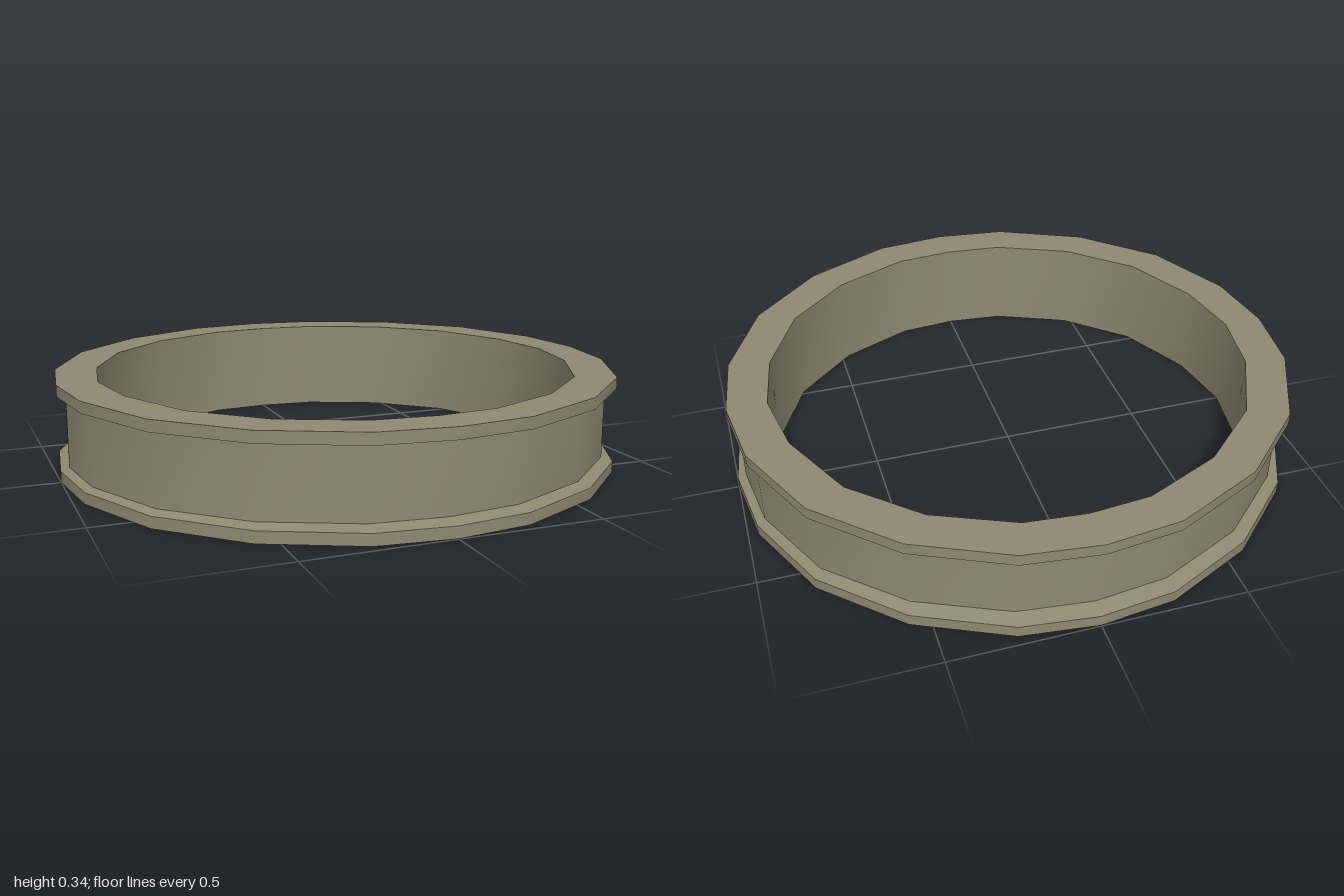
import * as THREE from 'three';
import { toCreasedNormals } from 'three/addons/utils/BufferGeometryUtils.js';

// One quadrant of each plan outline [x, z], from the x axis to just before the z axis
const OUTER = [[1, 0], [0.965, 0.27], [0.82, 0.58], [0.57, 0.82], [0.26, 0.966], [0, 0.997]];
const INNER = [[0.86, 0], [0.82, 0.245], [0.69, 0.515], [0.475, 0.715], [0.21, 0.833], [0, 0.853]];
const WAIST = OUTER.map(([x, z]) => [x * 0.97, z * 0.942]);

// Mirror a quadrant into a full closed outline
function fullOutline(quadrant) {
  const half = [...quadrant, ...quadrant.slice(0, -1).reverse().map(([x, z]) => [-x, z])];
  return [...half, ...half.slice(1, -1).reverse().map(([x, z]) => [x, -z])];
}

// Join a closed loop of outlines at given heights into a ring
function ringGeometry(section) {
  const loops = section.map(([quadrant, y]) => fullOutline(quadrant).map(([x, z]) => [x, y, z]));
  const rows = loops.length, n = loops[0].length;
  const index = [];
  for (let i = 0; i < rows; i++) {
    const next = (i + 1) % rows;
    for (let j = 0; j < n; j++) {
      const k = (j + 1) % n;
      const a = i * n + j, b = next * n + j, c = next * n + k, d = i * n + k;
      index.push(a, b, d, b, c, d);
    }
  }
  const geometry = new THREE.BufferGeometry();
  geometry.setAttribute('position', new THREE.Float32BufferAttribute(loops.flat(2), 3));
  geometry.setIndex(index);
  return toCreasedNormals(geometry, Math.PI / 6);
}

export function createModel() {
  const group = new THREE.Group();
  group.name = 'flangedRing';
  const stone = new THREE.MeshStandardMaterial({ color: 0x8f8971 });
  stone.name = 'greyOlive';

  // Cross-section: lower lip, recessed band, upper lip, inner wall
  const ring = new THREE.Mesh(ringGeometry([
    [INNER, 0], [OUTER, 0], [OUTER, 0.04], [WAIST, 0.05],
    [WAIST, 0.29], [OUTER, 0.3], [OUTER, 0.34], [INNER, 0.34],
  ]), stone);
  ring.name = 'ring';
  group.add(ring);
  return group;
}
